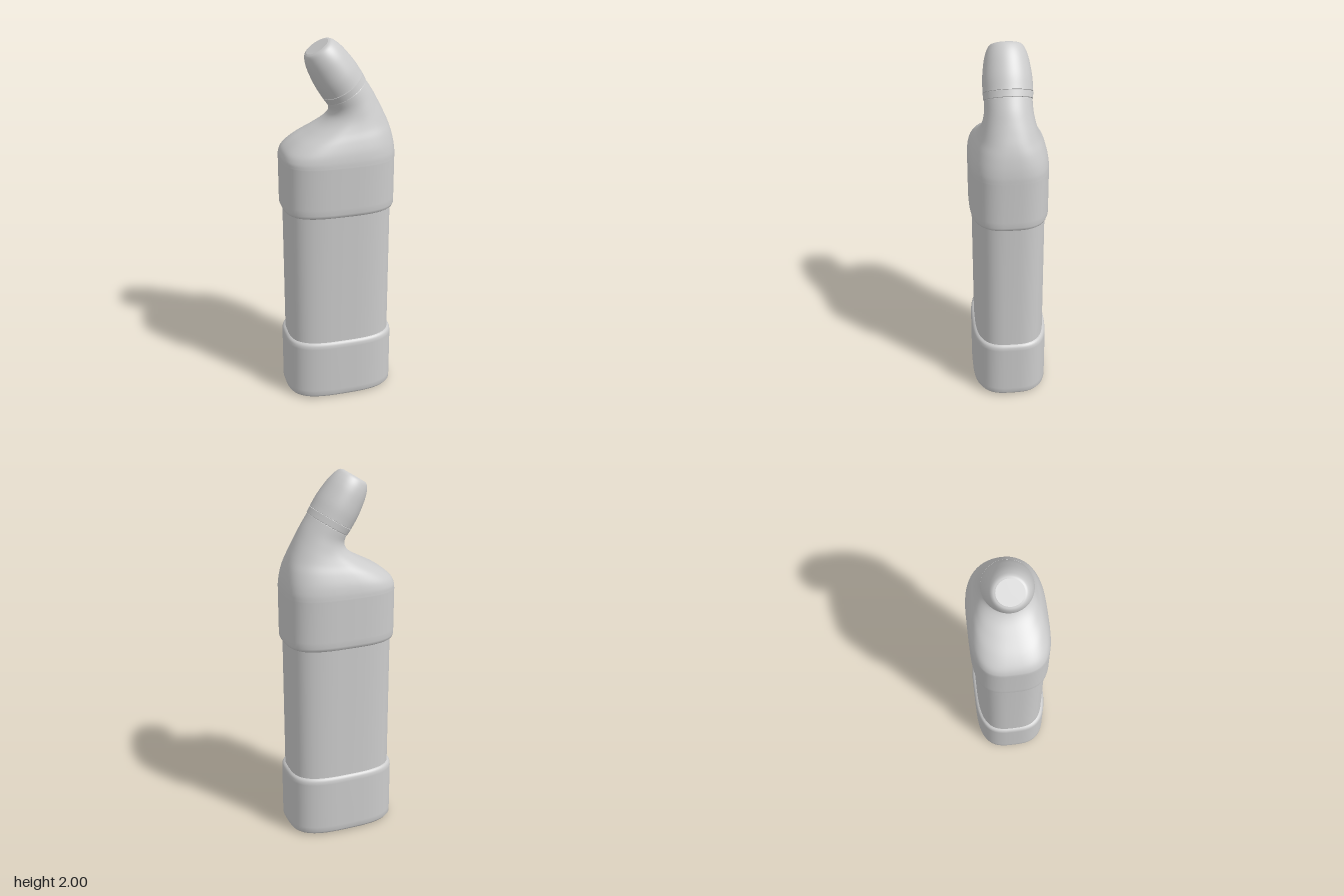
import * as THREE from 'three';

const SEGMENTS = 64;
const material = new THREE.MeshStandardMaterial({ color: 0xcccccc });

// A ring spans a left point and a right point, with half depth b and superellipse power n.
const ring = (lx, ly, rx, ry, b, n) => ({ l: [lx, ly], r: [rx, ry], b, n });
const level = (y, a, b) => ring(-a, y, a, y, b, 3.1);

// Skin consecutive rings; a repeated ring makes a crease.
function loft(name, rings) {
  const positions = [], index = [];
  for (const { l, r, b, n } of rings) {
    for (let i = 0; i < SEGMENTS; i++) {
      const t = (i / SEGMENTS) * Math.PI * 2, c = Math.cos(t), s = Math.sin(t);
      const u = Math.sign(c) * Math.abs(c) ** (2 / n);
      const w = Math.sign(s) * Math.abs(s) ** (2 / n);
      positions.push(
        (l[0] + r[0]) / 2 + (u * (r[0] - l[0])) / 2,
        (l[1] + r[1]) / 2 + (u * (r[1] - l[1])) / 2,
        w * b);
    }
  }
  for (let j = 0; j < rings.length - 1; j++) {
    for (let i = 0; i < SEGMENTS; i++) {
      const a = j * SEGMENTS + i, b = j * SEGMENTS + ((i + 1) % SEGMENTS);
      index.push(a, a + SEGMENTS, b, b, a + SEGMENTS, b + SEGMENTS);
    }
  }
  const geometry = new THREE.BufferGeometry();
  geometry.setAttribute('position', new THREE.Float32BufferAttribute(positions, 3));
  geometry.setIndex(index);
  geometry.computeVertexNormals();
  const mesh = new THREE.Mesh(geometry, material);
  mesh.name = name;
  return mesh;
}

// Smoothly resample a list of rings.
function smooth(rings, steps) {
  const curve = (f) => new THREE.CatmullRomCurve3(rings.map(f), false, 'catmullrom', 0.5);
  const left = curve((k) => new THREE.Vector3(k.l[0], k.l[1], k.b));
  const right = curve((k) => new THREE.Vector3(k.r[0], k.r[1], k.n));
  return Array.from({ length: steps + 1 }, (_, i) => {
    const p = left.getPoint(i / steps), q = right.getPoint(i / steps);
    return ring(p.x, p.y, q.x, q.y, p.z, q.z);
  });
}

// Round ring on the tilted neck axis, at distance s past the upper seam.
const TILT = 0.56;
function tilted(s, r) {
  const c = Math.cos(TILT), k = Math.sin(TILT);
  const x = 0.031 - k * s, y = 1.761 + c * s;
  return ring(x - c * r, y - k * r, x + c * r, y + k * r, r * 1.05, 2);
}

export function createModel() {
  const group = new THREE.Group();

  // Foot with a flat underside and rounded rims
  const floor = level(0, 0.25, 0.157);
  group.add(loft('base', [
    level(0, 0, 0), floor, floor,
    level(0.002, 0.275, 0.182), level(0.008, 0.291, 0.198), level(0.022, 0.3, 0.207),
    level(0.05, 0.3, 0.207), level(0.32, 0.3, 0.207), level(0.338, 0.298, 0.205),
    level(0.35, 0.292, 0.199), level(0.355, 0.28, 0.187),
  ]));

  // Straight middle sleeve
  group.add(loft('body', [level(0.33, 0.283, 0.19), level(1.13, 0.283, 0.19)]));

  // Lower collar of the shoulder, flowing into the bent neck
  const shoulder = smooth([
    level(1.38, 0.3, 0.207),
    ring(-0.297, 1.41, 0.299, 1.42, 0.204, 3.1),
    ring(-0.278, 1.445, 0.293, 1.47, 0.195, 3.0),
    ring(-0.225, 1.487, 0.281, 1.525, 0.178, 2.8),
    ring(-0.15, 1.528, 0.264, 1.575, 0.158, 2.5),
    ring(-0.085, 1.565, 0.241, 1.626, 0.142, 2.3),
    ring(-0.047, 1.6, 0.217, 1.675, 0.131, 2.1),
    ring(-0.036, 1.632, 0.188, 1.729, 0.123, 2),
    tilted(-0.04, 0.115),
  ], 48);
  group.add(loft('shoulder', [
    level(1.105, 0.278, 0.185), level(1.107, 0.288, 0.195), level(1.113, 0.295, 0.202),
    level(1.128, 0.3, 0.207), level(1.16, 0.3, 0.207), ...shoulder,
  ]));

  // Thin ring between two fine seams
  const low = tilted(-0.038, 0.114), bandLow = tilted(-0.036, 0.118);
  const bandHigh = tilted(-0.003, 0.12), high = tilted(-0.001, 0.114);
  group.add(loft('neckRing', [
    tilted(-0.04, 0.115), low, low, bandLow, bandLow, bandHigh, bandHigh, high,
  ]));

  // Tapered cap with a rounded edge and flat top
  const lip = tilted(0, 0.12), top = tilted(0.241, 0.064);
  const profile = [[0, 0.12], [0.07, 0.119], [0.145, 0.11], [0.19, 0.1], [0.22, 0.088],
    [0.235, 0.077], [0.241, 0.064]];
  group.add(loft('cap', [
    tilted(-0.001, 0.114), lip,
    ...smooth(profile.map(([s, r]) => tilted(s, r)), 30),
    top, tilted(0.241, 0),
  ]));
  return group;
}
